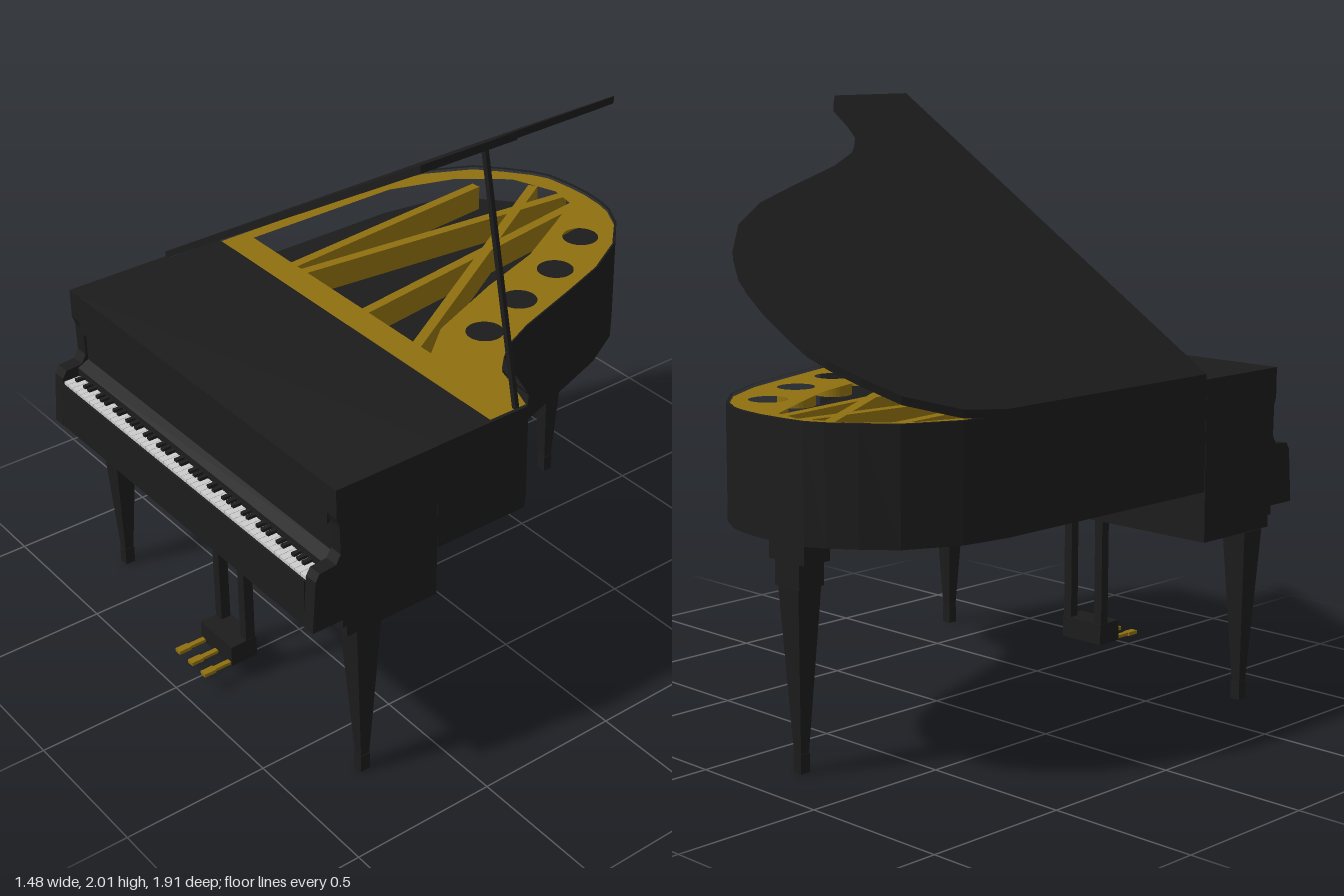
import * as THREE from 'three';

const black = new THREE.MeshStandardMaterial({ color: 0x1c1c1c });
const gold = new THREE.MeshStandardMaterial({ color: 0x8f700f });
const white = new THREE.MeshStandardMaterial({ color: 0xeeeeee });

// Plan of the curved body as [x, z], from the hinge side round the tail to the treble side
const curve = [
  [-0.74, -0.44], [-0.715, -0.6], [-0.63, -0.77], [-0.54, -0.85], [-0.46, -0.91], [-0.4, -0.94],
  [-0.32, -0.95], [-0.22, -0.955], [-0.13, -0.945], [-0.07, -0.93], [0.02, -0.88], [0.13, -0.77],
  [0.22, -0.61], [0.28, -0.44], [0.37, -0.17], [0.43, -0.04], [0.48, 0.02], [0.53, 0.07],
  [0.6, 0.09], [0.69, 0.1], [0.735, 0.145],
];
const outline = [[-0.74, 0.49], ...curve, [0.735, 0.49]];

// Same outline drawn in by d on all sides
const inset = (d) => outline.map(([x, z]) => [x * (1 - d / 0.74), -0.23 + (z + 0.23) * (1 - d / 0.72)]);
const points = (list) => list.map(([x, z]) => new THREE.Vector2(x, -z));

export function createModel() {
  const model = new THREE.Group();

  const add = (name, geometry, material = black, parent = model) => {
    const mesh = new THREE.Mesh(geometry, material);
    mesh.name = name;
    parent.add(mesh);
    return mesh;
  };
  const group = (name) => {
    const g = new THREE.Group();
    g.name = name;
    model.add(g);
    return g;
  };
  // Box given by its limits
  const box = (name, x0, x1, y0, y1, z0, z1, material = black, parent = model) => {
    const mesh = add(name, new THREE.BoxGeometry(x1 - x0, y1 - y0, z1 - z0), material, parent);
    mesh.position.set((x0 + x1) / 2, (y0 + y1) / 2, (z0 + z1) / 2);
    return mesh;
  };
  // Horizontal slab from a plan
  const slab = (plan, y0, y1, holes = []) => {
    const shape = new THREE.Shape(points(plan));
    holes.forEach((h) => shape.holes.push(h));
    return new THREE.ExtrudeGeometry(shape, { depth: y1 - y0, bevelEnabled: false, curveSegments: 16 })
      .rotateX(-Math.PI / 2).translate(0, y0, 0);
  };
  // Side profile [z, y] carried across x
  const across = (profile, x0, x1) => {
    const shape = new THREE.Shape(profile.map(([z, y]) => new THREE.Vector2(z, y)));
    return new THREE.ExtrudeGeometry(shape, { depth: x1 - x0, bevelEnabled: false })
      .rotateY(-Math.PI / 2).translate(x1, 0, 0);
  };

  // Curved case and soundboard
  add('rim', slab(outline, 0.76, 1.13, [new THREE.Path(points(inset(0.012)))]));
  add('soundboard', slab(inset(0.01), 0.762, 1.0));

  // Iron frame: plate with one large opening and round holes on the treble band
  const opening = [
    [-0.68, 0.17], [-0.68, -0.42], [-0.6, -0.66], [-0.47, -0.82], [-0.3, -0.88], [-0.2, -0.86],
    [-0.12, -0.72], [0, -0.5], [0.08, -0.25], [0.2, 0.05], [0.3, 0.17],
  ];
  const holes = [new THREE.Path(points(opening))];
  [[0.01, -0.72], [0.13, -0.5], [0.21, -0.27], [0.3, -0.05]].forEach(([x, z]) => {
    holes.push(new THREE.Path().absarc(x, -z, 0.062, 0, Math.PI * 2, true));
  });
  add('ironFrame', slab(inset(0.012), 1.06, 1.12, holes), gold);
  const braces = group('frameBraces');
  [
    [-0.45, 0.2, -0.53, -0.7], [-0.4, 0.2, -0.28, -0.9],
    [-0.05, 0.2, -0.2, -0.88], [0.24, 0.2, -0.4, -0.86],
  ].forEach(([x0, z0, x1, z1]) => {
    const length = Math.hypot(x1 - x0, z1 - z0);
    const brace = add('brace', new THREE.BoxGeometry(0.035, 0.09, length), gold, braces);
    brace.position.set((x0 + x1) / 2, 1.065, (z0 + z1) / 2);
    brace.rotation.y = Math.atan2(x1 - x0, z1 - z0);
  });

  // Front body with the keyboard recess, closed by a cheek at each end
  const base = [[0.85, 0.66], [0.85, 0.63], [0.835, 0.63], [0.835, 0.59], [0.495, 0.59], [0.49, 1.13]];
  add('frontBody', across([
    [0.865, 1.13], [0.865, 0.99], [0.845, 0.99], [0.845, 0.88], [0.885, 0.86], [0.885, 0.81],
    [0.945, 0.81], [0.945, 0.822], [0.952, 0.822], [0.958, 0.66], ...base,
  ], -0.69, 0.69));
  const cheek = [
    [0.865, 1.13], [0.865, 1.03], [0.855, 1.0], [0.853, 0.9], [0.87, 0.87], [0.93, 0.865],
    [0.945, 0.84], [0.96, 0.66], ...base,
  ];
  add('rightCheek', across(cheek, -0.74, -0.69));
  add('leftCheek', across(cheek, 0.69, 0.737));
  box('frontCover', -0.725, 0.722, 1.08, 1.129, 0.28, 0.495);

  // Keyboard: 52 white keys, black ones in groups of two and three
  const keys = group('keyboard');
  const pitch = 1.37 / 52;
  for (let i = 0; i < 52; i++) {
    const x = -0.685 + i * pitch;
    box('whiteKey', x + 0.0008, x + pitch - 0.0008, 0.8, 0.832, 0.88, 0.944, white, keys);
    if (i < 51 && ![1, 4].includes(i % 7)) {
      box('blackKey', x + pitch - 0.007, x + pitch + 0.007, 0.825, 0.842, 0.88, 0.915, black, keys);
    }
  }

  // Raised lid: flat plan sheared upward from the hinge side
  const lid = slab(outline, 0, 0.026);
  const rise = 0.586;
  lid.applyMatrix4(new THREE.Matrix4().set(
    0.942, 0, 0, 0.942 * 0.74 - 0.74,
    rise, 1, 0, rise * 0.74 + 1.122,
    0, 0, 1, 0,
    0, 0, 0, 1,
  ));
  lid.computeVertexNormals();
  add('lid', lid);

  // Prop stick
  const foot = new THREE.Vector3(0.715, 1.1, 0.17);
  const tip = new THREE.Vector3(0.545, 1.925, 0.17);
  const prop = add('propStick', new THREE.BoxGeometry(0.018, foot.distanceTo(tip), 0.014));
  prop.position.copy(foot).add(tip).multiplyScalar(0.5);
  prop.rotation.z = Math.atan2(foot.x - tip.x, tip.y - foot.y);

  // Square tapered legs
  const leg = (name, x, z) => {
    const g = group(name);
    g.position.set(x, 0, z);
    const taper = new THREE.CylinderGeometry(0.046 * Math.SQRT2, 0.016 * Math.SQRT2, 0.53, 4)
      .toNonIndexed().rotateY(Math.PI / 4);
    taper.computeVertexNormals();
    add('taper', taper, black, g).position.y = 0.325;
    box('foot', -0.018, 0.018, 0, 0.062, -0.018, 0.018, black, g);
    return g;
  };
  leg('frontRightLeg', -0.698, 0.75);
  leg('frontLeftLeg', 0.687, 0.75);
  const rear = leg('rearLeg', -0.225, -0.805);
  box('block', -0.055, 0.055, 0.59, 0.68, -0.05, 0.05, black, rear);
  box('bracket', -0.08, 0.08, 0.67, 0.765, -0.052, 0.052, black, rear);

  // Pedal lyre
  const lyre = group('pedalLyre');
  box('pedalBox', -0.09, 0.09, 0.065, 0.14, 0.735, 0.835, black, lyre);
  [-0.072, 0.072].forEach((x) => {
    box('post', x - 0.017, x + 0.017, 0.13, 0.6, 0.74, 0.775, black, lyre);
  });
  [-0.075, 0, 0.075].forEach((x) => {
    box('pedal', x - 0.009, x + 0.009, 0.068, 0.079, 0.82, 0.9, gold, lyre);
    box('pedalTip', x - 0.013, x + 0.013, 0.067, 0.08, 0.895, 0.94, gold, lyre);
  });

  return model;
}
